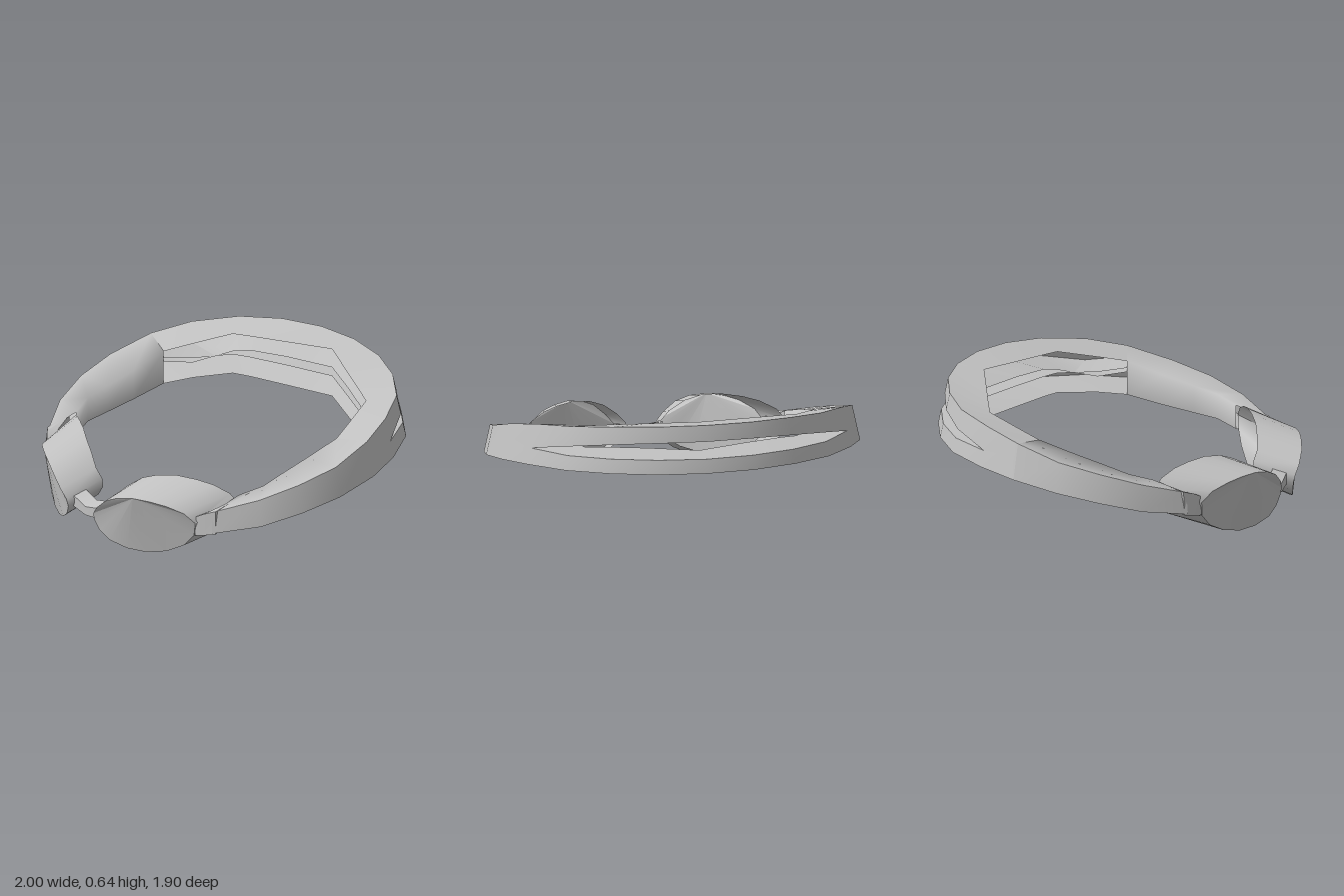
import * as THREE from 'three';
import { toCreasedNormals } from 'three/addons/utils/BufferGeometryUtils.js';

const grey = new THREE.MeshStandardMaterial({ color: 0xc2c2c2, side: THREE.DoubleSide });
grey.name = 'light grey rubber';

function makeMesh(name, points, index, crease) {
  const geometry = new THREE.BufferGeometry();
  geometry.setAttribute('position', new THREE.Float32BufferAttribute(points.flat(), 3));
  geometry.setIndex(index);
  const mesh = new THREE.Mesh(toCreasedNormals(geometry, crease), grey);
  mesh.name = name;
  return mesh;
}

// Skin through four-cornered sections: outer bottom, outer top, inner top, inner bottom.
// Faces: 0 outer, 1 top, 2 inner, 3 bottom; a full set also gets end caps.
function loft(name, sections, faces = [0, 1, 2, 3], crease = 0.55) {
  const index = [];
  const last = (sections.length - 1) * 4;
  for (let s = 0; s < last; s += 4) {
    for (const j of faces) {
      const k = (j + 1) % 4;
      index.push(s + j, s + 4 + k, s + k, s + j, s + 4 + j, s + 4 + k);
    }
  }
  if (faces.length === 4) {
    index.push(0, 1, 2, 0, 2, 3, last, last + 2, last + 1, last, last + 3, last + 2);
  }
  return makeMesh(name, sections.flat(), index, crease);
}

const mirrorPoint = ([x, y, z]) => [-x, y, z];
const mirrorSections = (sections) => sections.map((s) => s.map(mirrorPoint)).reverse();

// Strap stations from front to back: outer x, outer z, inner x, inner z,
// bottom, top, inner top, drop of inner bottom, gap bottom, gap top
const stations = [
  [0.72, 0.62, 0.70, 0.42, 0.17, 0.283, 0.335, -0.035],
  [0.88, 0.42, 0.75, 0.30, 0.21, 0.35, 0.37, -0.025],
  [0.965, 0.21, 0.745, 0.17, 0.26, 0.41, 0.405, 0.003],
  [1.0, -0.02, 0.742, 0.0, 0.305, 0.465, 0.45, 0.02],
  [0.965, -0.27, 0.74, -0.20, 0.345, 0.535, 0.508, 0.022, 0.47, 0.47],
  [0.87, -0.48, 0.67, -0.34, 0.368, 0.582, 0.538, 0.025, 0.455, 0.455],
  [0.71, -0.69, 0.57, -0.53, 0.382, 0.612, 0.578, 0.03, 0.46, 0.508],
  [0.50, -0.83, 0.47, -0.57, 0.39, 0.632, 0.587, 0.034, 0.466, 0.54],
  [0.26, -0.92, 0.26, -0.65, 0.394, 0.642, 0.604, 0.038, 0.47, 0.557],
  [0, -0.95, 0, -0.75, 0.395, 0.645, 0.625, 0.04, 0.47, 0.56],
];

// The outer face leans inward with height
function strapSection([ox, oz, ix, iz, base, , , drop], low, high, innerTop) {
  const outer = (y) => {
    const k = 1 - 0.22 * (y - base);
    return [ox * k, y, oz * k];
  };
  return [outer(low), outer(high), [ix, innerTop, iz], [ix, low - drop, iz]];
}

// Outline of one lens, anticlockwise from the top
const outline = [
  [0.375, 0.325], [0.29, 0.308], [0.22, 0.275], [0.155, 0.218], [0.115, 0.17],
  [0.11, 0.13], [0.14, 0.075], [0.20, 0.033], [0.29, 0.004], [0.39, 0.002], [0.49, 0.026],
  [0.575, 0.075], [0.625, 0.14], [0.64, 0.215], [0.60, 0.27], [0.53, 0.305], [0.46, 0.32],
];

function interpolate(table, x) {
  for (let i = 1; i < table.length; i++) {
    const [x0, z0] = table[i - 1];
    const [x1, z1] = table[i];
    if (x <= x1 || i === table.length - 1) return z0 + ((z1 - z0) * (x - x0)) / (x1 - x0);
  }
}
const frontCurve = [[0.11, 0.942], [0.18, 0.938], [0.30, 0.885], [0.42, 0.825], [0.54, 0.745], [0.64, 0.66]];
const rearCurve = [[0.09, 0.715], [0.15, 0.722], [0.30, 0.66], [0.50, 0.55], [0.72, 0.42]];

function eyeCup(side) {
  const label = side > 0 ? 'left' : 'right';
  // The lens leans forward at the top
  let front = outline.map(([x, y]) => [x, y, interpolate(frontCurve, x) + 0.22 * (y - 0.17)]);
  let rear = outline.map(([x, y]) => {
    const rx = 0.09 + 1.17 * (x - 0.11);
    return [rx, 0.06 + 1.03 * y, interpolate(rearCurve, rx)];
  });
  const n = outline.length;
  if (side < 0) {
    front = front.map(mirrorPoint).reverse();
    rear = rear.map(mirrorPoint).reverse();
  }
  const top = side > 0 ? 0 : n - 1;
  const wall = [];
  const lens = [];
  for (let i = 0; i < n; i++) {
    const j = (i + 1) % n;
    wall.push(i, n + i, n + j, i, n + j, j);
    if (i !== top && j !== top) lens.push(top, i, j);
  }
  const group = new THREE.Group();
  group.name = label + 'EyeCup';
  group.add(
    makeMesh(label + 'CupWall', [...front, ...rear], wall, 0.7),
    makeMesh(label + 'Lens', front, lens, 0.2),
  );
  return group;
}

export function createModel() {
  const model = new THREE.Group();
  model.name = 'swimGoggles';

  // Strap sides up to the bands; the top rolls softly into the inside
  const sideSections = stations.slice(0, 5).map((s) => strapSection(s, s[4], s[5], s[6]));
  for (const [label, sections] of [['left', sideSections], ['right', mirrorSections(sideSections)]]) {
    model.add(loft(label + 'StrapOutside', sections, [0, 3]));
    model.add(loft(label + 'StrapInside', sections, [1, 2], 2));
  }

  // Two bands round the back of the head, open on the inside
  const band = (name, low, high, innerTop) => {
    const half = stations.slice(4).map((s) => strapSection(s, s[low], s[high], s[innerTop]));
    model.add(loft(name, [...half, ...mirrorSections(half).slice(1)], [0, 1, 3]));
  };
  band('upperBackBand', 9, 5, 6);
  band('lowerBackBand', 4, 8, 8);

  // Tabs joining cups and strap
  const tab = [
    [[0.635, 0.145, 0.668], [0.635, 0.25, 0.66], [0.64, 0.25, 0.62], [0.64, 0.145, 0.62]],
    [[0.67, 0.15, 0.648], [0.67, 0.27, 0.638], [0.68, 0.285, 0.55], [0.68, 0.165, 0.55]],
    [[0.73, 0.165, 0.605], [0.72, 0.29, 0.595], [0.715, 0.325, 0.45], [0.715, 0.205, 0.45]],
  ];
  model.add(loft('leftStrapTab', tab));
  model.add(loft('rightStrapTab', mirrorSections(tab)));

  // Nose bridge, dipping in the middle
  const bridge = [-0.125, -0.06, 0, 0.06, 0.125].map((x) => {
    const rise = Math.abs(x) * 0.2;
    const front = 0.905 - Math.abs(x) * 0.1;
    const back = 0.832 - Math.abs(x) * 0.12;
    return [
      [x, 0.11 + rise * 0.4, front], [x, 0.158 + rise, front],
      [x, 0.178 + rise, back], [x, 0.125 + rise * 0.4, back],
    ];
  });
  model.add(loft('noseBridge', bridge));

  model.add(eyeCup(1), eyeCup(-1));
  return model;
}
